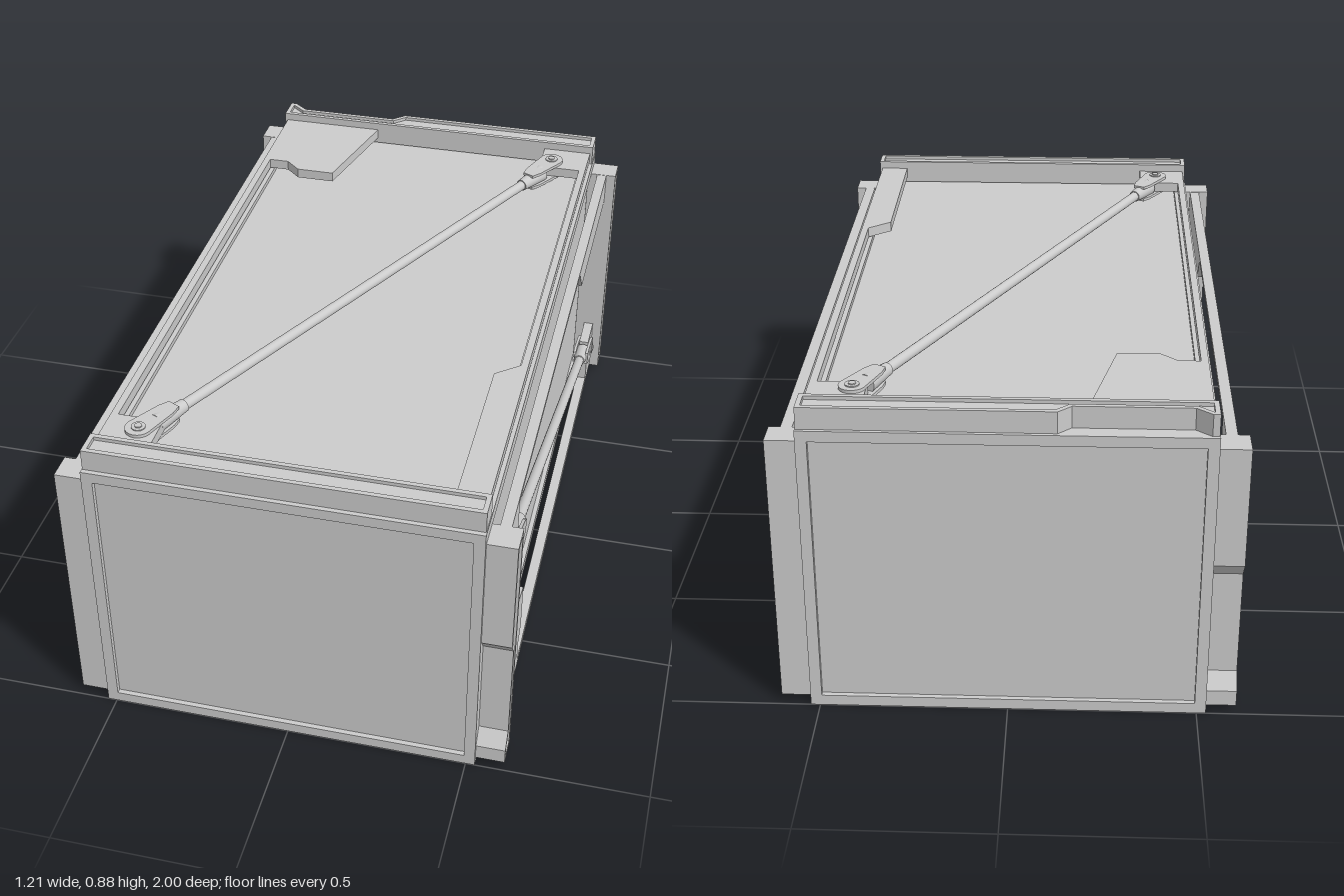
import * as THREE from 'three';

const material = new THREE.MeshStandardMaterial({ color: 0xcccccc, flatShading: true });
const smooth = new THREE.MeshStandardMaterial({ color: 0xcccccc });

const rect = (x0, y0, x1, y1) => [[x0, y0], [x1, y0], [x1, y1], [x0, y1]];
const toPoints = (pts) => pts.map(([x, y]) => new THREE.Vector2(x, y));

// Moves every side of a counter-clockwise outline inward by d
function inset(pts, d) {
  const n = pts.length;
  return pts.map(([x, y], i) => {
    const [px, py] = pts[(i + n - 1) % n], [qx, qy] = pts[(i + 1) % n];
    const a = new THREE.Vector2(x - px, y - py).normalize();
    const b = new THREE.Vector2(qx - x, qy - y).normalize();
    const k = d / (1 + a.dot(b));
    return [x - (a.y + b.y) * k, y + (a.x + b.x) * k];
  });
}

// Flat part: outline in the face plane, extruded outward from w0 to w1
function plate(parent, name, outline, w0, w1, hole) {
  const shape = new THREE.Shape(toPoints(outline));
  if (hole) shape.holes.push(new THREE.Path(toPoints(hole)));
  const geo = new THREE.ExtrudeGeometry(shape, { depth: w1 - w0, bevelEnabled: false });
  const mesh = new THREE.Mesh(geo, material);
  mesh.position.z = w0;
  mesh.name = name;
  parent.add(mesh);
}

// Box wall: a frame with a slightly sunken panel
function wall(parent, outer, opening) {
  plate(parent, 'wallFrame', outer, -0.04, 0, opening);
  plate(parent, 'wallPanel', opening, -0.03, -0.014);
}

// Beam with a shallow raised rim around its outer face
function rimmedBeam(parent, name, outline, height) {
  const g = new THREE.Group();
  g.name = name;
  plate(g, name + 'Core', outline, -0.01, height - 0.01);
  plate(g, name + 'Rim', outline, height - 0.01, height, inset(outline, 0.013));
  parent.add(g);
}

// Round part along local z
function pin(parent, name, radius, length) {
  const mesh = new THREE.Mesh(new THREE.CylinderGeometry(radius, radius, length, 24), smooth);
  mesh.name = name;
  mesh.rotation.x = Math.PI / 2;
  parent.add(mesh);
}

// Round part along local x, from x0 to x1
function bar(parent, name, x0, x1, r0, r1) {
  const mesh = new THREE.Mesh(new THREE.CylinderGeometry(r1, r0, x1 - x0, 20), smooth);
  mesh.name = name;
  mesh.rotation.z = -Math.PI / 2;
  mesh.position.x = (x0 + x1) / 2;
  parent.add(mesh);
}

// Side profile of a fork prong
function prongShape() {
  const s = new THREE.Shape();
  s.absarc(0, 0, 0.036, Math.PI / 2, Math.PI * 1.5, false);
  s.lineTo(0.1, -0.027);
  s.lineTo(0.13, -0.018);
  s.lineTo(0.13, 0.018);
  s.lineTo(0.1, 0.027);
  return s;
}

// Diagonal brace from a to b, with a pinned fork around the plate at both ends
function brace(parent, a, b, w) {
  const g = new THREE.Group();
  g.name = 'diagonalBrace';
  const dx = b[0] - a[0], dy = b[1] - a[1], length = Math.hypot(dx, dy);
  g.position.set((a[0] + b[0]) / 2, (a[1] + b[1]) / 2, w);
  g.rotation.z = Math.atan2(dy, dx);
  bar(g, 'braceRod', 0.1 - length / 2, length / 2 - 0.1, 0.015, 0.015);
  for (const side of [0, 1]) {
    const end = new THREE.Group();
    end.name = 'braceEnd';
    end.rotation.z = side * Math.PI;
    end.position.x = (side ? 1 : -1) * length / 2;
    for (const z of [-0.025, 0.016]) {
      const prong = new THREE.Mesh(new THREE.ExtrudeGeometry(prongShape(),
        { depth: 0.009, bevelEnabled: false, curveSegments: 16 }), material);
      prong.name = 'prong';
      prong.position.z = z;
      end.add(prong);
    }
    bar(end, 'socket', 0.06, 0.165, 0.027, 0.018);
    pin(end, 'pinCollar', 0.019, 0.056);
    pin(end, 'pin', 0.01, 0.062);
    g.add(end);
  }
  parent.add(g);
}

// Long side; local x runs from the notched post to the plain one
function makeSide() {
  const g = new THREE.Group();
  wall(g, rect(-0.98, 0, 0.98, 0.82), rect(-0.95, 0.03, 0.95, 0.79));
  // Cut-out cover standing off the wall between the posts
  plate(g, 'sideCover', rect(-0.92, 0.021, 0.92, 0.784), 0.02, 0.05, [
    [-0.625, 0.045], [0.79, 0.045], [0.79, 0.195], [0.914, 0.195], [0.914, 0.685],
    [0.38, 0.685], [0.3, 0.77], [-0.79, 0.77], [-0.79, 0.62], [-0.914, 0.62],
    [-0.914, 0.38], [-0.59, 0.295], [-0.59, 0.15], [-0.625, 0.11]]);
  rimmedBeam(g, 'notchedPost', [[-0.91, 0.02], [-0.91, 0.785], [-0.99, 0.785], [-0.99, 0.45],
    [-0.957, 0.408], [-0.957, 0.108], [-0.99, 0.065], [-0.99, 0.02]], 0.08);
  rimmedBeam(g, 'post', rect(0.91, 0.02, 0.985, 0.785), 0.08);
  brace(g, [-0.83, 0.66], [0.825, 0.152], 0.035);
  return g;
}

// Roof; local y points to the back
function makeRoof() {
  const g = new THREE.Group();
  g.name = 'roof';
  wall(g, rect(-0.525, -0.98, 0.525, 0.98), rect(-0.495, -0.95, 0.495, 0.95));
  // Cut-out cover between the two beams
  plate(g, 'roofCover', rect(-0.515, -0.92, 0.515, 0.92), 0.007, 0.037, [
    [-0.37, -0.914], [0.43, -0.914], [0.43, -0.38], [0.495, -0.325], [0.495, 0.79],
    [0.365, 0.79], [0.365, 0.914], [-0.2, 0.914], [-0.275, 0.588], [-0.39, 0.588],
    [-0.435, 0.63], [-0.495, 0.63], [-0.495, -0.79], [-0.37, -0.79]]);
  rimmedBeam(g, 'frontBeam', rect(-0.523, -0.987, 0.523, -0.912), 0.06);
  rimmedBeam(g, 'backBeam', [[-0.523, 0.912], [0.523, 0.912], [0.523, 0.99], [-0.125, 0.99],
    [-0.16, 0.957], [-0.465, 0.957], [-0.505, 0.99], [-0.523, 0.99]], 0.06);
  brace(g, [-0.42, -0.842], [0.4, 0.827], 0.022);
  return g;
}

// Plain end wall
function makeEnd() {
  const g = new THREE.Group();
  wall(g, rect(-0.525, 0, 0.525, 0.82), rect(-0.495, 0.03, 0.495, 0.79));
  return g;
}

export function createModel() {
  const model = new THREE.Group();
  model.name = 'container';
  for (const s of [1, -1]) {
    const side = makeSide();
    side.name = s > 0 ? 'leftSide' : 'rightSide';
    side.rotation.y = s * Math.PI / 2;
    side.position.x = s * 0.525;
    const end = makeEnd();
    end.name = s > 0 ? 'frontEnd' : 'backEnd';
    end.rotation.y = s > 0 ? 0 : Math.PI;
    end.position.z = s;
    model.add(side, end);
  }
  const roof = makeRoof();
  roof.rotation.x = -Math.PI / 2;
  roof.position.y = 0.82;
  model.add(roof);
  return model;
}
